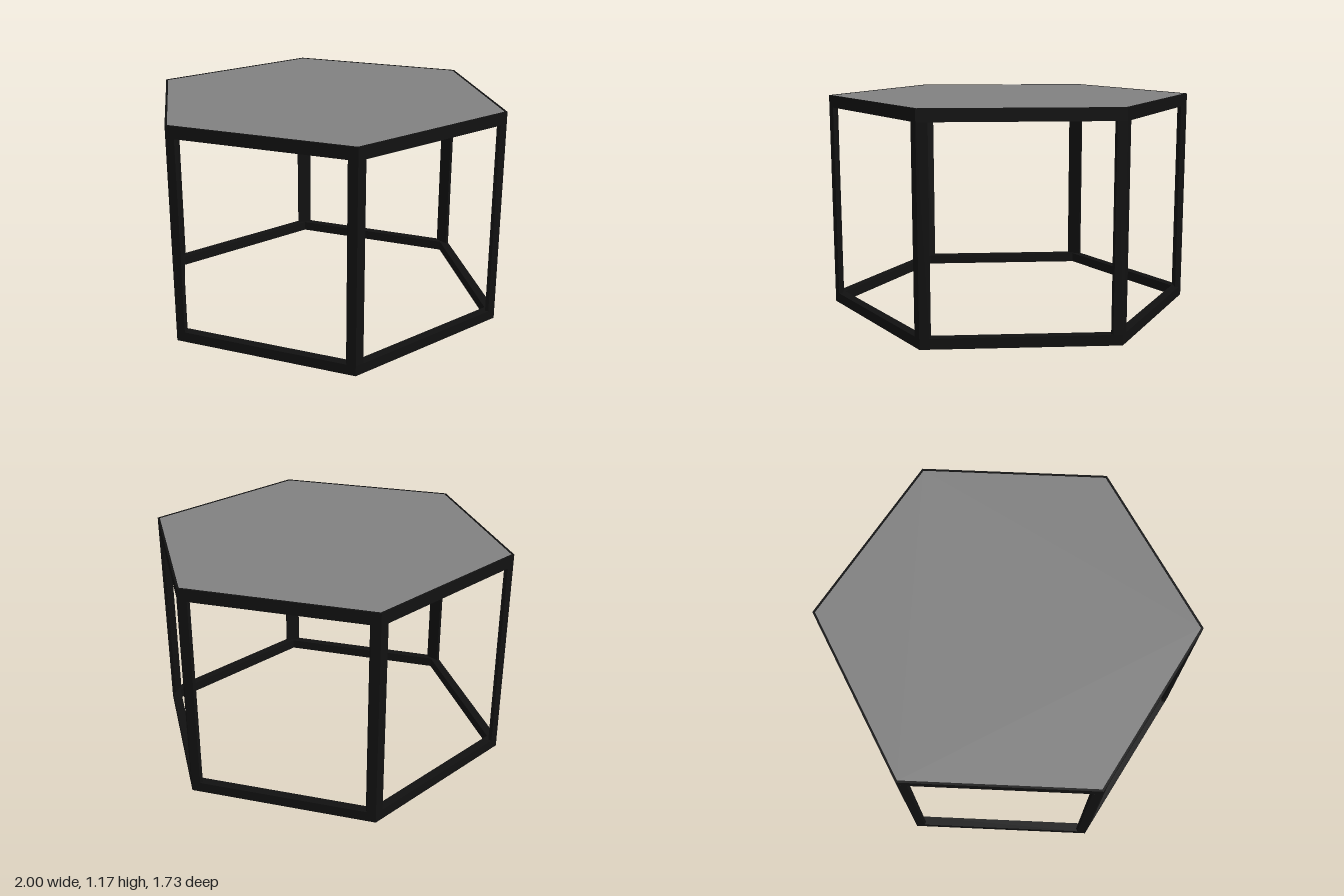
import * as THREE from 'three';

const HEIGHT = 1.175;

// Hexagon outline with corners on the x axis
function hexPoints(radius) {
  return Array.from({ length: 6 }, (_, i) => {
    const a = (i * Math.PI) / 3;
    return new THREE.Vector2(radius * Math.cos(a), radius * Math.sin(a));
  });
}

// Upright prism of a flat shape between two heights
function prism(name, shape, y0, y1, material) {
  const geometry = new THREE.ExtrudeGeometry(shape, { depth: y1 - y0, bevelEnabled: false });
  geometry.rotateX(-Math.PI / 2);
  geometry.translate(0, y0, 0);
  const mesh = new THREE.Mesh(geometry, material);
  mesh.name = name;
  return mesh;
}

function hexRing(name, inner, y0, y1, material) {
  const shape = new THREE.Shape(hexPoints(1));
  shape.holes.push(new THREE.Path(hexPoints(inner).reverse()));
  return prism(name, shape, y0, y1, material);
}

export function createModel() {
  const model = new THREE.Group();
  model.name = 'hexagonalTable';
  const frameMaterial = new THREE.MeshStandardMaterial({ color: 0x111111 });
  const panelMaterial = new THREE.MeshStandardMaterial({ color: 0x808080 });

  // Base ring, supporting top rail and the thin edge around the panel
  model.add(hexRing('baseRing', 0.945, 0, 0.055, frameMaterial));
  model.add(hexRing('topRail', 0.88, 1.11, 1.13, frameMaterial));
  model.add(hexRing('topEdge', 0.987, 1.13, HEIGHT, frameMaterial));

  // Grey table top, set inside the edge
  model.add(prism('topPanel', new THREE.Shape(hexPoints(0.987)), 1.13, 1.173, panelMaterial));

  // Six corner legs: the outer faces follow the hexagon, the inner face is flat
  const legShape = new THREE.Shape([
    new THREE.Vector2(1, 0),
    new THREE.Vector2(0.976, 0.042),
    new THREE.Vector2(0.958, 0.041),
    new THREE.Vector2(0.958, -0.041),
    new THREE.Vector2(0.976, -0.042),
  ]);
  for (let i = 0; i < 6; i++) {
    const leg = prism('leg', legShape, 0.055, 1.11, frameMaterial);
    leg.rotation.y = (i * Math.PI) / 3;
    model.add(leg);
  }
  return model;
}
